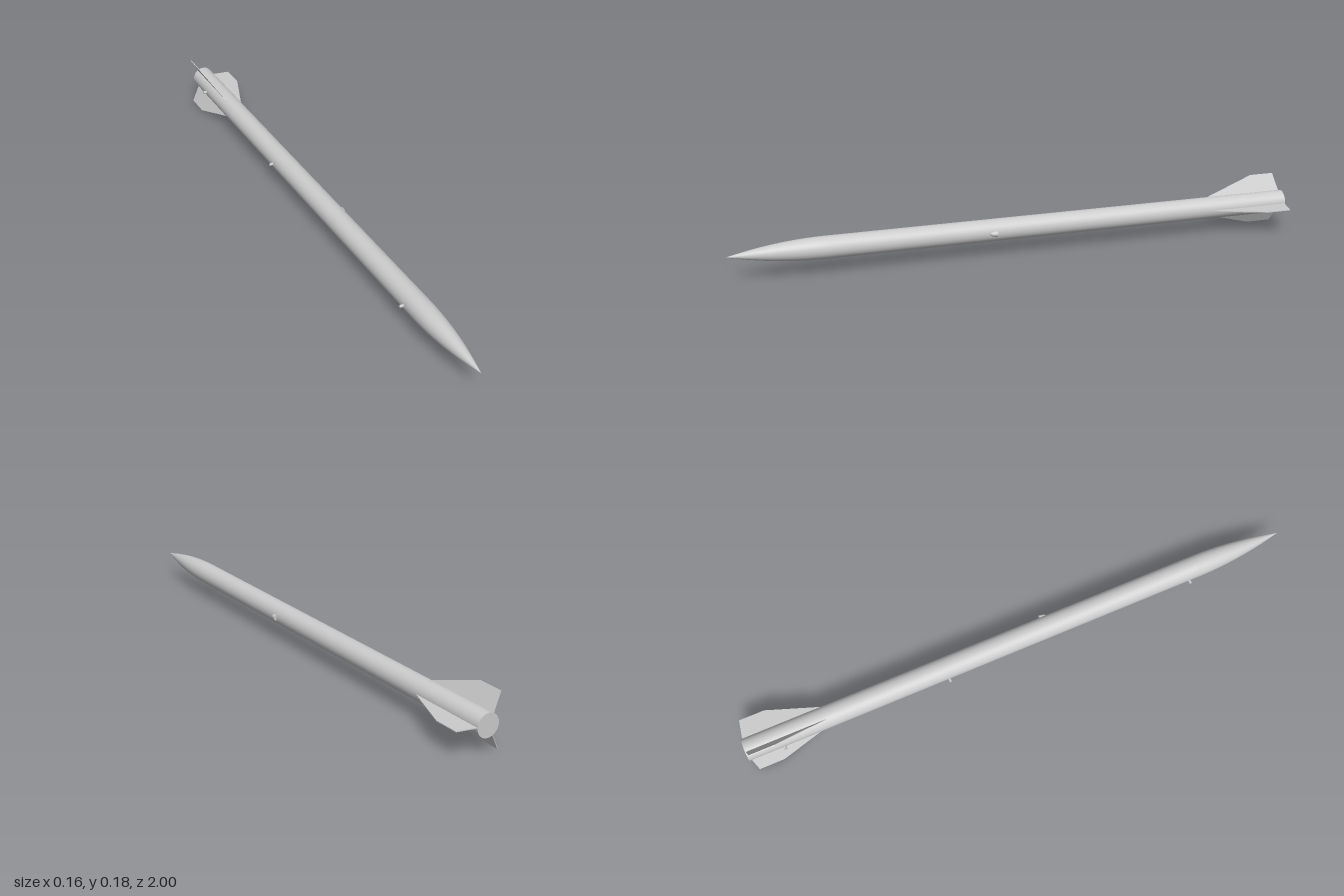
import * as THREE from 'three';

const R = 0.039, NOSE_Z = 0.67;

export function createModel() {
  const model = new THREE.Group();
  const material = new THREE.MeshStandardMaterial({ color: 0xcccccc });
  const rocket = new THREE.Group();
  rocket.name = 'rocket';
  rocket.position.set(-0.0265, 0.092, 0);
  model.add(rocket);

  const add = (name, geometry, parent = rocket) => {
    const mesh = new THREE.Mesh(geometry, material);
    mesh.name = name;
    parent.add(mesh);
    return mesh;
  };

  // Straight body tube with a flat aft end
  const tube = new THREE.CylinderGeometry(R, R, NOSE_Z + 1, 48);
  tube.rotateX(Math.PI / 2).translate(0, 0, (NOSE_Z - 1) / 2);
  add('bodyTube', tube);

  // Tangent ogive nose cone
  const length = 1 - NOSE_Z;
  const rho = (R * R + length * length) / (2 * R);
  const profile = [];
  for (let i = 0; i <= 24; i++) {
    const y = (length * i) / 24;
    profile.push(new THREE.Vector2(Math.max(0, Math.sqrt(rho * rho - y * y) + R - rho), y));
  }
  const nose = new THREE.LatheGeometry(profile, 48);
  nose.rotateX(Math.PI / 2).translate(0, 0, NOSE_Z);
  add('noseCone', nose);

  // Three thin swept fins, outlined by distance from the axis and z
  const outline = new THREE.Shape([
    [R - 0.003, -0.998], [0.105, -0.986], [0.105, -0.897], [R - 0.003, -0.705],
  ].map(([r, z]) => new THREE.Vector2(r, z)));
  const thickness = 0.003;
  const fin = new THREE.ExtrudeGeometry(outline, { depth: thickness, bevelEnabled: false });
  fin.translate(0, 0, -thickness / 2).rotateX(Math.PI / 2);
  for (let i = 0; i < 3; i++) {
    add('fin' + (i + 1), fin).rotation.z = (i * Math.PI * 2) / 3;
  }

  // Small fairing on the left side: rounded forward, flat at the back
  const fairing = new THREE.Group();
  fairing.name = 'sideFairing';
  fairing.position.set(R, 0, 0.091);
  rocket.add(fairing);
  const dome = new THREE.SphereGeometry(0.0105, 24, 12, 0, Math.PI * 2, 0, Math.PI / 2);
  dome.rotateX(Math.PI / 2).scale(1, 1, 2.5);
  add('fairingShell', dome, fairing);
  add('fairingBack', new THREE.CircleGeometry(0.0105, 24).rotateY(Math.PI), fairing);

  // Launch guide buttons along the right side
  const button = new THREE.CylinderGeometry(0.005, 0.005, 0.016, 20);
  button.rotateZ(Math.PI / 2);
  for (const z of [-0.875, -0.278, 0.632]) {
    add('guideButton', button).position.set(-R - 0.005, 0, z);
  }
  return model;
}
